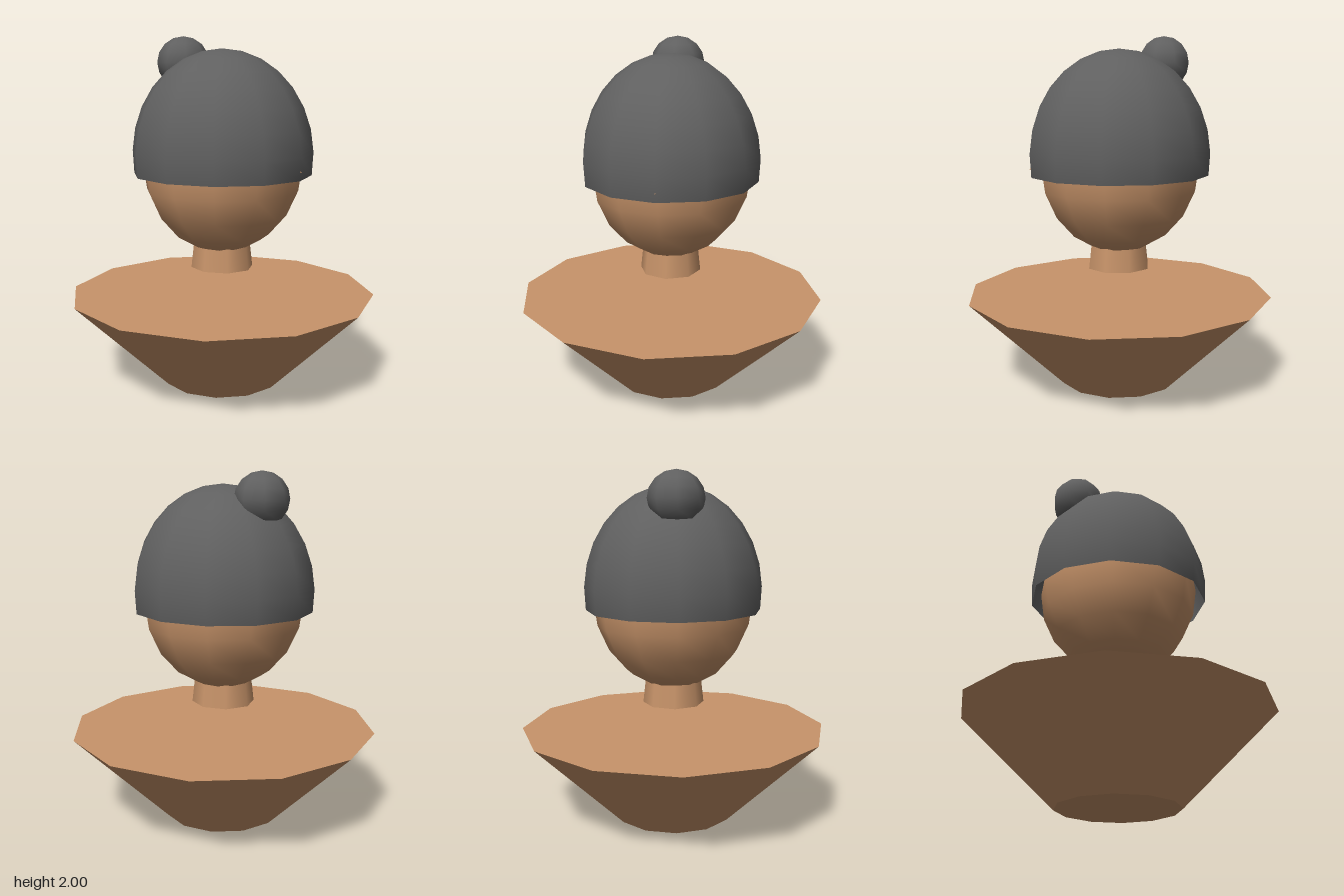
import * as THREE from 'three';

export function createModel() {
  const model = new THREE.Group();
  const material = (name, color, side = THREE.FrontSide) =>
    new THREE.MeshStandardMaterial({ name, color, side });
  const skin = material('tan', 0xc8946a);
  const wool = material('dark grey', 0x606060, THREE.DoubleSide);

  const add = (name, geometry, mat, position, scale = [1, 1, 1]) => {
    const mesh = new THREE.Mesh(geometry, mat);
    mesh.name = name;
    mesh.position.set(...position);
    mesh.scale.set(...scale);
    model.add(mesh);
    return mesh;
  };

  // Tapered twelve-sided torso with flat top and bottom
  add('torso', new THREE.CylinderGeometry(0.884, 0.345, 0.525, 12), skin, [0, 0.2625, 0]);

  // Short neck, floating above the torso and reaching into the head
  add('neck', new THREE.CylinderGeometry(0.16, 0.184, 0.21, 8), skin, [0, 0.78, 0], [0.96, 1, 1]);

  // Egg-shaped head
  add('head', new THREE.SphereGeometry(1, 12, 10), skin, [0, 1.29, 0], [0.46, 0.52, 0.462]);

  // Small pointed nose under the brim
  const nose = add('nose', new THREE.ConeGeometry(0.045, 0.12, 8), skin, [0, 1.27, 0.469]);
  nose.rotation.x = Math.PI / 2;

  // Hat: open dome reaching a little below its widest ring
  const dome = new THREE.SphereGeometry(1, 12, 8, 0, Math.PI * 2, 0, THREE.MathUtils.degToRad(100));
  add('hat', dome, wool, [0, 1.325, 0], [0.51, 0.603, 0.525]);

  // Pompom at the back of the hat
  add('pompom', new THREE.SphereGeometry(1, 8, 8), wool, [0, 1.85, -0.275], [0.156, 0.15, 0.15]);

  return model;
}
